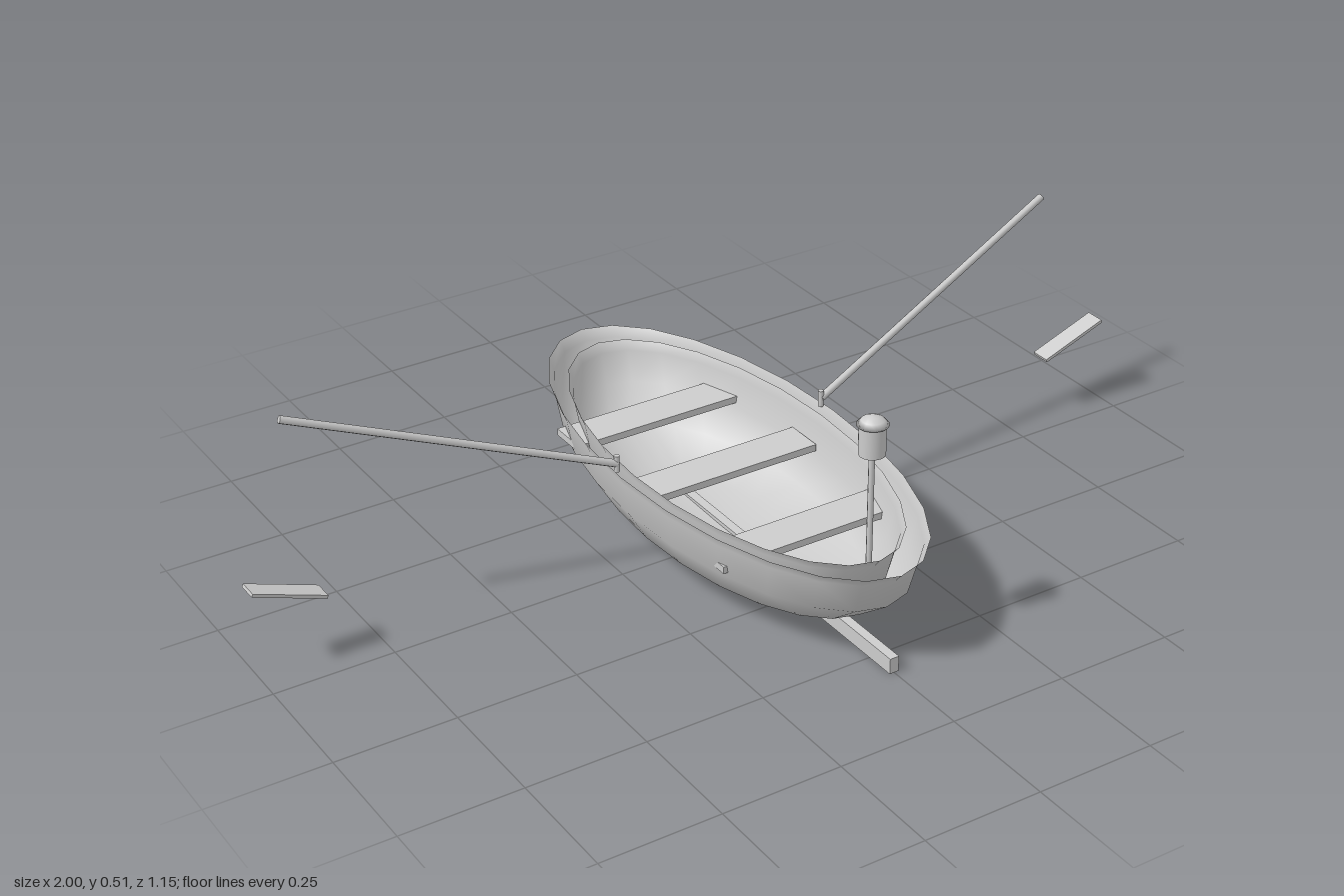
import * as THREE from 'three';

const grey = new THREE.MeshStandardMaterial({ color: 0xcccccc, side: THREE.DoubleSide });
grey.name = 'light grey';

export function createModel() {
  const boat = new THREE.Group();
  boat.name = 'rowingBoat';

  const add = (name, geometry, x = 0, y = 0, z = 0) => {
    const mesh = new THREE.Mesh(geometry, grey);
    mesh.name = name;
    mesh.position.set(x, y, z);
    boat.add(mesh);
    return mesh;
  };

  // Open elliptical shell turned from [radius ratio, height] pairs
  const shell = (profile, halfWidth, halfLength) => {
    const points = profile.map(([r, y]) => new THREE.Vector2(r, y));
    return new THREE.LatheGeometry(points, 24).scale(halfWidth, 1, halfLength);
  };
  const outer = [[0, 0.02], [0.43, 0.025], [0.78, 0.065], [0.93, 0.13], [0.97, 0.2], [1, 0.22]];
  const inner = [[0, 0.024], [0.43, 0.029], [0.78, 0.068], [0.93, 0.132], [0.97, 0.198], [1, 0.217]];
  add('outerHull', shell(outer, 0.248, 0.577));
  add('innerHull', shell(inner, 0.22, 0.51));

  // Keel below the hull
  add('keel', new THREE.BoxGeometry(0.02, 0.033, 1.13), 0, 0.0165, 0);

  // Bench seats
  for (const z of [-0.288, -0.033, 0.252]) {
    add('benchSeat', new THREE.BoxGeometry(0.406, 0.015, 0.085), 0, 0.15, z);
  }

  // Oars and oarlocks, mirrored
  for (const side of [-1, 1]) {
    const label = side > 0 ? 'left' : 'right';
    add(label + 'Oarlock', new THREE.CylinderGeometry(0.006, 0.006, 0.035, 8), side * 0.24, 0.235, -0.03);

    const start = new THREE.Vector3(side * 0.24, 0.235, -0.03);
    const end = new THREE.Vector3(side * 0.88, 0.475, -0.145);
    const along = end.clone().sub(start);
    const shaft = add(label + 'OarShaft', new THREE.CylinderGeometry(0.008, 0.008, along.length(), 8));
    shaft.position.copy(start).lerp(end, 0.5);
    shaft.quaternion.setFromUnitVectors(new THREE.Vector3(0, 1, 0), along.normalize());

    const blade = add(label + 'OarBlade', new THREE.BoxGeometry(0.158, 0.007, 0.043), side * 0.925, 0.156, -0.079);
    blade.rotation.z = side * 0.355;
  }

  // Lantern on its post at the bow
  add('lanternPost', new THREE.CylinderGeometry(0.006, 0.006, 0.32, 8), 0, 0.27, 0.475);
  add('lanternBody', new THREE.CylinderGeometry(0.026, 0.026, 0.062, 16), 0, 0.459, 0.475);
  const cap = [[0, 0], [0.031, 0], [0.022, 0.01], [0.01, 0.016], [0, 0.017]];
  add('lanternCap', new THREE.LatheGeometry(cap.map(([r, y]) => new THREE.Vector2(r, y)), 16), 0, 0.489, 0.475);

  return boat;
}
